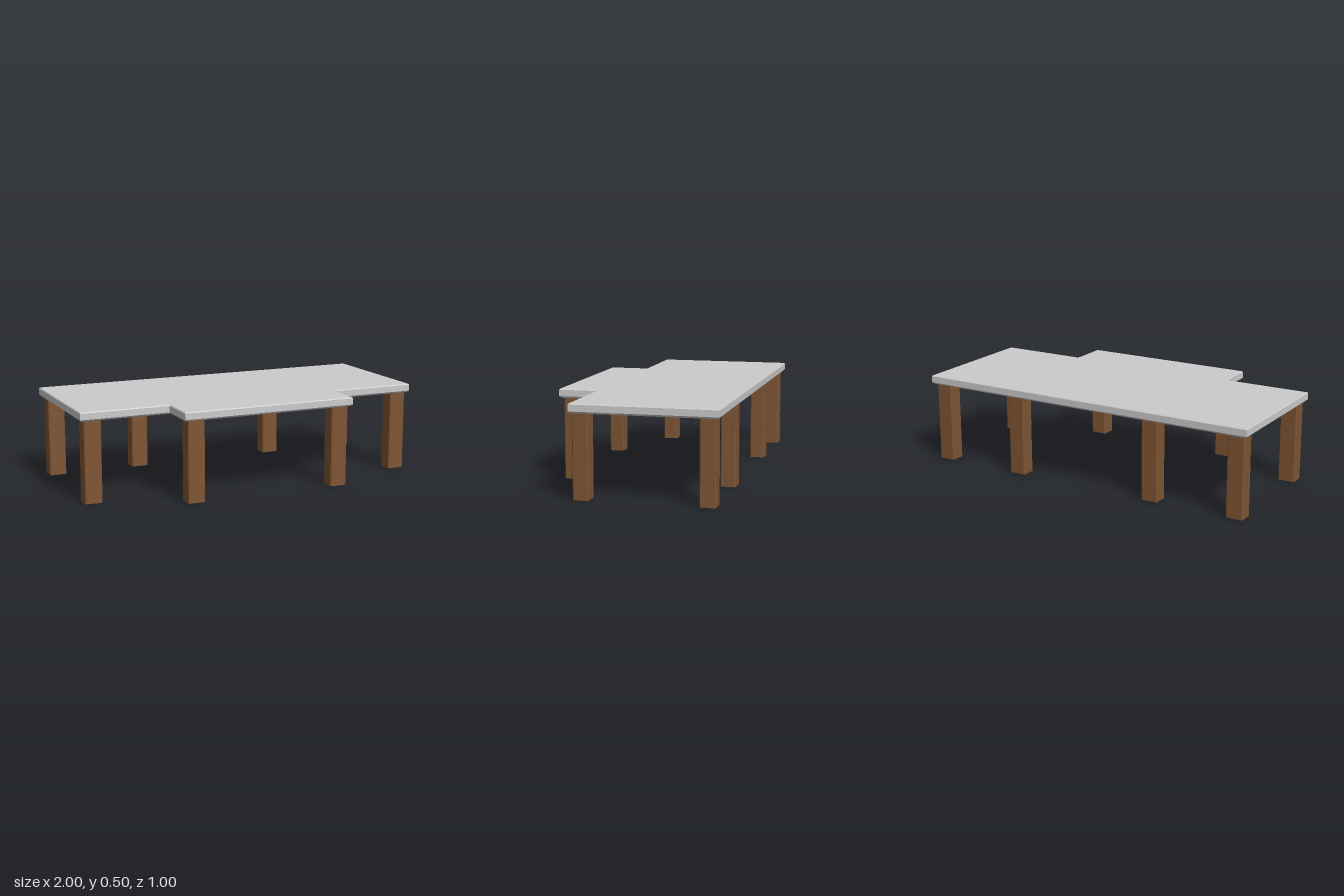
import * as THREE from 'three';

const gray = new THREE.MeshStandardMaterial({ color: 0xcccccc, flatShading: true });
const wood = new THREE.MeshStandardMaterial({ color: 0x7f5533, flatShading: true });

// T-shaped plan outline [x, z]; every corner moves toward the centre lines when inset
const plan = [[-1, -0.5], [-1, 0.28], [-0.5, 0.28], [-0.5, 0.5], [0.5, 0.5], [0.5, 0.28], [1, 0.28], [1, -0.5]];
const inset = (d) => plan.map(([x, z]) => new THREE.Vector2(x - Math.sign(x) * d, z - Math.sign(z) * d));

// Slab lofted through [height, inset] rings, capped at both ends
function slabGeometry(levels) {
  const rings = levels.map(([, d]) => inset(d));
  const n = plan.length;
  const positions = [];
  const index = [];
  rings.forEach((ring, r) => ring.forEach((p) => positions.push(p.x, levels[r][0], p.y)));
  for (let r = 0; r < rings.length - 1; r++) {
    for (let i = 0; i < n; i++) {
      const a = r * n + i;
      const b = r * n + (i + 1) % n;
      index.push(a, b, b + n, a, b + n, a + n);
    }
  }
  const top = (rings.length - 1) * n;
  for (const tri of THREE.ShapeUtils.triangulateShape(rings[0], [])) {
    // Orient each cap triangle explicitly from its winding in plan
    const [p, q, s] = tri.map((i) => rings[0][i]);
    const down = (q.x - p.x) * (s.y - p.y) - (q.y - p.y) * (s.x - p.x) > 0;
    const [a, b, c] = down ? tri : [tri[0], tri[2], tri[1]];
    index.push(a, b, c, top + a, top + c, top + b);
  }
  const geometry = new THREE.BufferGeometry();
  geometry.setAttribute('position', new THREE.Float32BufferAttribute(positions, 3));
  geometry.setIndex(index);
  const flat = geometry.toNonIndexed();
  flat.computeVertexNormals();
  return flat;
}

// Upright post with narrow chamfers along its four vertical edges
function legGeometry(width, depth, height, c) {
  const w = width / 2;
  const d = depth / 2;
  const shape = new THREE.Shape([
    [w, -d + c], [w, d - c], [w - c, d], [-w + c, d],
    [-w, d - c], [-w, -d + c], [-w + c, -d], [w - c, -d],
  ].map(([x, y]) => new THREE.Vector2(x, y)));
  return new THREE.ExtrudeGeometry(shape, { depth: height, bevelEnabled: false }).rotateX(-Math.PI / 2);
}

export function createModel() {
  const group = new THREE.Group();
  group.name = 'platform';

  // Deck with a wide lower bevel and a fine upper bevel
  const deck = new THREE.Mesh(slabGeometry([[0.45, 0.01], [0.46, 0], [0.495, 0], [0.5, 0.004]]), gray);
  deck.name = 'deck';
  group.add(deck);

  // Four mirrored pairs of legs
  const leg = legGeometry(0.096, 0.084, 0.452, 0.005);
  const pairs = [
    ['frontLeg', 0.428, 0.438],
    ['sideLeg', 0.93, 0.225],
    ['backInnerLeg', 0.428, -0.436],
    ['backCornerLeg', 0.93, -0.436],
  ];
  for (const [name, x, z] of pairs) {
    for (const side of [1, -1]) {
      const mesh = new THREE.Mesh(leg, wood);
      mesh.name = name + (side > 0 ? 'Left' : 'Right');
      mesh.position.set(side * x, 0, z);
      group.add(mesh);
    }
  }
  return group;
}
